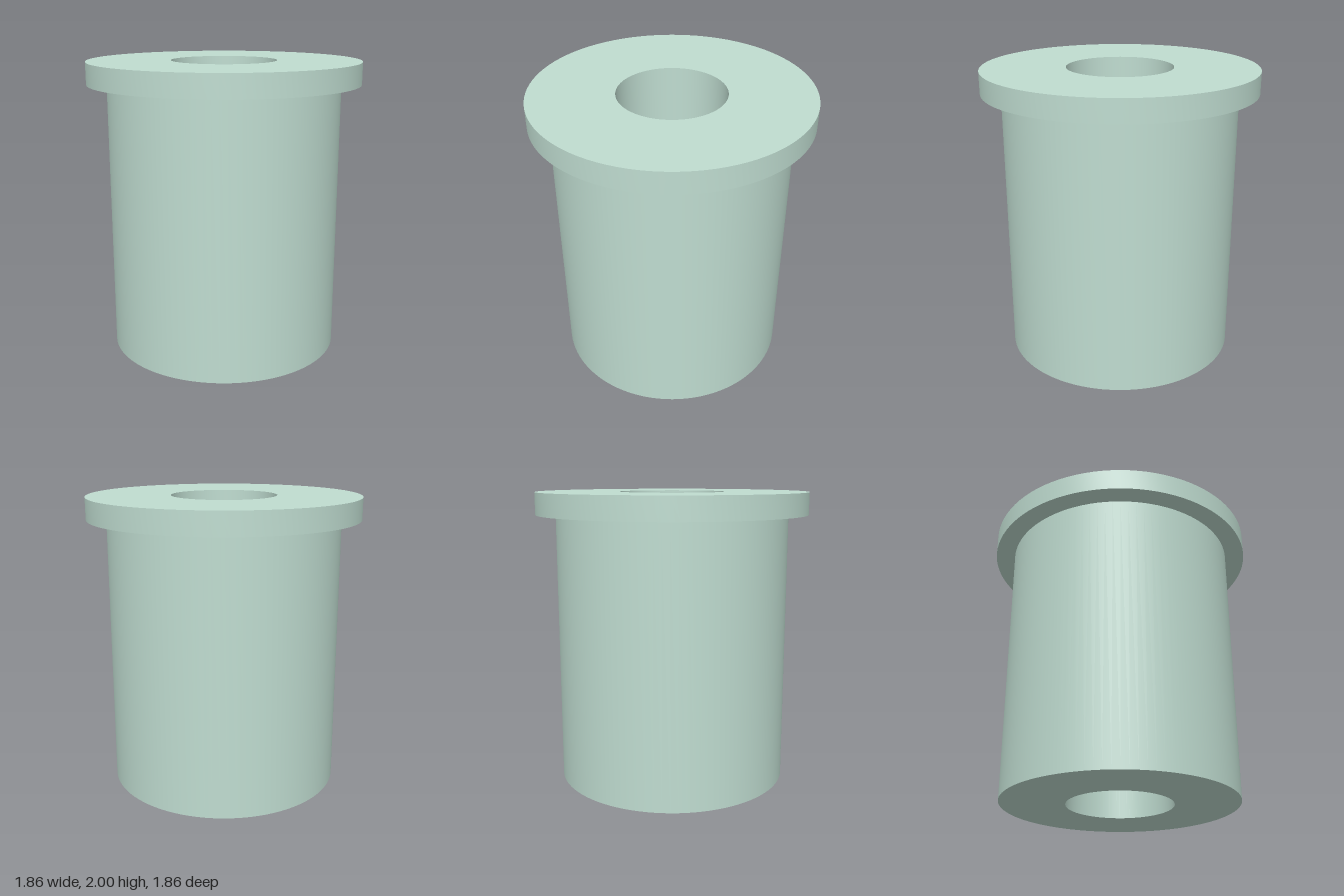
import * as THREE from 'three';
import { toCreasedNormals } from 'three/addons/utils/BufferGeometryUtils.js';

const HEIGHT = 2;
const FLANGE_BOTTOM = 1.85;
const BORE_R = 0.36;
const SLEEVE_R = 0.795;
const FLANGE_R = 0.93;
const SEGMENTS = 96;

const material = new THREE.MeshStandardMaterial({ color: 0xbfdcd0 });

// Revolves a [radius, height] profile, keeping its corners sharp
function revolve(name, profile) {
  const points = profile.map(([r, y]) => new THREE.Vector2(r, y));
  const geometry = toCreasedNormals(new THREE.LatheGeometry(points, SEGMENTS), Math.PI / 6);
  const mesh = new THREE.Mesh(geometry, material);
  mesh.name = name;
  return mesh;
}

export function createModel() {
  const bushing = new THREE.Group();
  bushing.name = 'flangedBushing';

  bushing.add(
    // Bottom ring and outer wall
    revolve('sleeve', [[BORE_R, 0], [SLEEVE_R, 0], [SLEEVE_R, FLANGE_BOTTOM]]),
    // Underside, rim and top ring
    revolve('flange', [
      [SLEEVE_R, FLANGE_BOTTOM], [FLANGE_R, FLANGE_BOTTOM], [FLANGE_R, HEIGHT], [BORE_R, HEIGHT],
    ]),
    // Inner wall of the through hole, facing the axis
    revolve('bore', [[BORE_R, HEIGHT], [BORE_R, 0]]),
  );
  return bushing;
}
